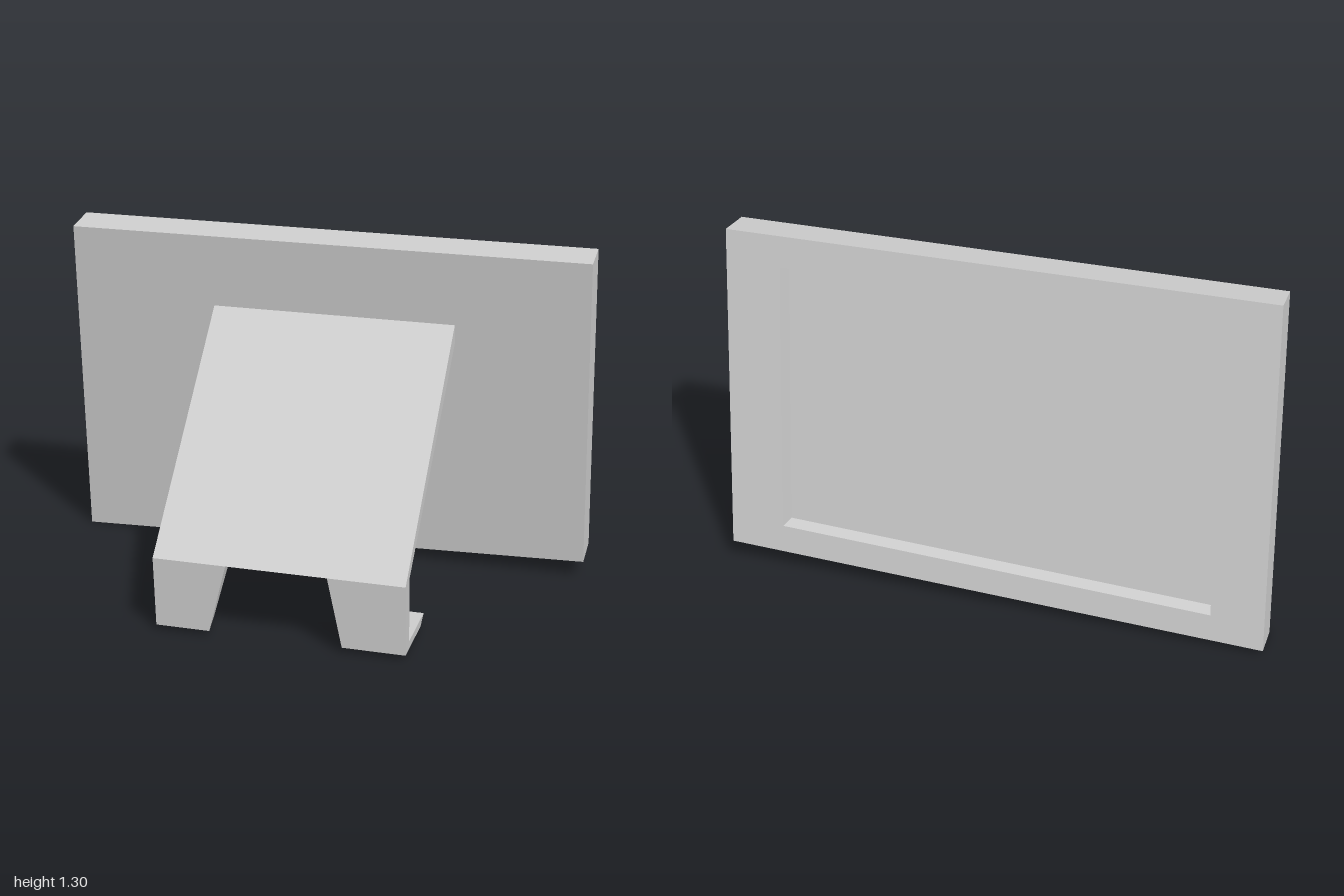
import * as THREE from 'three';

const material = new THREE.MeshStandardMaterial({ color: 0xcccccc, flatShading: true });

// Joins four-cornered sections into a skin, with optional end caps.
function loft(name, sections, capStart = true, capEnd = true) {
  const pos = [];
  const quad = (a, b, c, d) => pos.push(...a, ...b, ...c, ...a, ...c, ...d);
  for (let s = 0; s < sections.length - 1; s++) {
    const a = sections[s], b = sections[s + 1];
    for (let i = 0; i < 4; i++) {
      const j = (i + 1) % 4;
      quad(a[i], a[j], b[j], b[i]);
    }
  }
  if (capStart) quad(...[...sections[0]].reverse());
  if (capEnd) quad(...sections[sections.length - 1]);
  const geometry = new THREE.BufferGeometry();
  geometry.setAttribute('position', new THREE.Float32BufferAttribute(pos, 3));
  geometry.computeVertexNormals();
  const mesh = new THREE.Mesh(geometry, material);
  mesh.name = name;
  return mesh;
}

// Corners on the leaning panel: x, height on its front face, depth fraction.
const leaning = (corners, depth) =>
  corners.map(([x, y]) => [x, y + 0.02 * depth, -0.375 + 0.14 * y - 0.137 * depth]);

// Cross-section of the stand: inner and outer edge as [y, z].
const strip = ([xa, xb], [yi, zi], [yo, zo]) =>
  [[xa, yi, zi], [xb, yi, zi], [xb, yo, zo], [xa, yo, zo]];

export function createModel() {
  const model = new THREE.Group();
  model.name = 'displayOnStand';

  // Slightly skewed frame with a shallow recess in the back
  const outline = [[-1, 0], [-0.955, 1.285], [1, 1.285], [1, 0.067]];
  const opening = [[-0.805, 0.105], [-0.755, 1.175], [0.8, 1.17], [0.8, 0.165]];
  const floor = [[-0.8, 0.121], [-0.755, 1.175], [0.785, 1.17], [0.785, 0.18]];
  model.add(loft('frame', [
    leaning(outline, 0), leaning(outline, 1), leaning(opening, 1), leaning(floor, 0.68),
  ], true, false));

  // Recessed screen
  model.add(loft('screen', [leaning(floor, 0.68)], false, true));

  // Sloping support plate
  const plateX = [-0.415, 0.505];
  const knee = [[0.295, 0.452], [0.29, 0.51]];
  model.add(loft('supportPlate', [
    strip(plateX, [0.935, -0.245], [1.007, -0.234]),
    strip(plateX, ...knee),
  ]));

  // Hooked legs: knee, heel mitre, tapered toe
  const legs = {
    rightLeg: [[-0.415, -0.145], [-0.415, -0.215], [-0.415, -0.315]],
    leftLeg: [[0.225, 0.505], [0.275, 0.505], [0.39, 0.505]],
  };
  for (const [name, [top, heel, toe]] of Object.entries(legs)) {
    model.add(loft(name, [
      strip(top, ...knee),
      strip(heel, [0.05, 0.435], [0.02, 0.49]),
      strip(toe, [0.05, 0.2], [0.02, 0.25]),
    ]));
  }
  return model;
}
